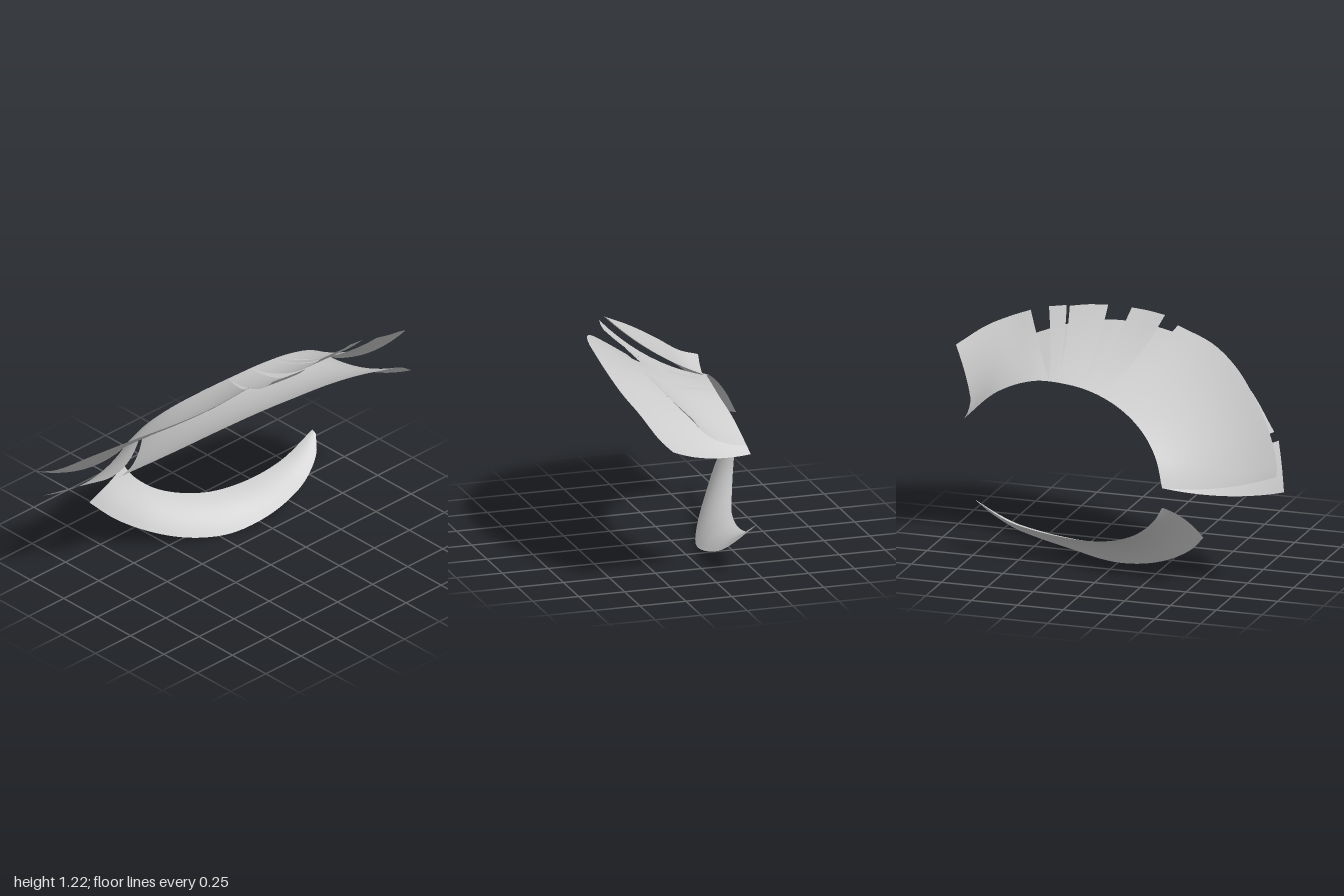
import * as THREE from 'three';

const curveOf = (pts) => new THREE.CatmullRomCurve3(pts.map((p) => new THREE.Vector3(...p)));

const material = new THREE.MeshStandardMaterial({ color: 0xcccccc, side: THREE.DoubleSide });

// Thin curled sheet between a stretch of the lid line and a tip curve.
// It dips by a share of its length, going from the first to the second value
// of sag along the lid; negative values make it bulge.
function lash(name, rim, [from, to], tips, sag, segments = 24, rows = 10) {
  const tip = curveOf(tips);
  const positions = [];
  const index = [];
  for (let i = 0; i <= segments; i++) {
    const s = i / segments;
    const u = from + (to - from) * s;
    const a = rim.getPoint(u);
    const b = tip.getPoint(s);
    const along = b.clone().sub(a);
    const depth = along.length() * THREE.MathUtils.lerp(sag[0], sag[1], s);
    const up = along.cross(rim.getTangent(u)).normalize();
    up.y += 0.5;
    up.normalize();
    for (let j = 0; j <= rows; j++) {
      const t = j / rows;
      const p = a.clone().lerp(b, t).addScaledVector(up, -4 * depth * t * (1 - t));
      positions.push(p.x, p.y, p.z);
      if (i < segments && j < rows) {
        const k = i * (rows + 1) + j;
        const n = k + rows + 1;
        index.push(k, k + 1, n, k + 1, n + 1, n);
      }
    }
  }
  const geometry = new THREE.BufferGeometry();
  geometry.setAttribute('position', new THREE.Float32BufferAttribute(positions, 3));
  geometry.setIndex(index);
  geometry.computeVertexNormals();
  const mesh = new THREE.Mesh(geometry, material);
  mesh.name = name;
  return mesh;
}

export function createModel() {
  const model = new THREE.Group();
  model.name = 'eyelashes';

  // Line of the upper lid, shared by both upper layers
  const upperRim = curveOf([
    [-0.36, 0.54, -0.475], [-0.3, 0.67, -0.4], [-0.2, 0.775, -0.315],
    [-0.05, 0.86, -0.225], [0.13, 0.915, -0.155], [0.3, 0.935, -0.12],
    [0.48, 0.925, -0.1], [0.67, 0.85, -0.12], [0.83, 0.705, -0.16],
  ]);

  // Lower layer: a long band and a separate outer corner lash
  const band = new THREE.Group();
  band.name = 'upperLashBand';
  band.add(
    lash('cornerLash', upperRim, [0, 0.125], [
      [-1, 0.56, -0.4], [-0.935, 0.65, -0.245], [-0.865, 0.735, -0.09],
    ], [0.085, 0.08], 8),
    lash('mainBand', upperRim, [0.135, 1], [
      [-0.82, 0.76, -0.03], [-0.61, 0.92, 0.175], [-0.41, 1.02, 0.3], [-0.2, 1.085, 0.39],
      [0, 1.112, 0.445], [0.195, 1.116, 0.475], [0.39, 1.09, 0.485], [0.6, 1.025, 0.465],
      [0.755, 0.955, 0.42], [0.895, 0.85, 0.355], [0.955, 0.8, 0.305],
    ], [0.075, 0.075], 48),
  );

  // Upper layer: lashes fanning out above the band
  const fan = new THREE.Group();
  fan.name = 'upperLashFan';
  const lashes = [
    ['outerLash', [0, 0.475], [
      [-0.985, 0.665, -0.475], [-0.945, 0.71, -0.36], [-0.85, 0.82, -0.205], [-0.69, 0.955, -0.01],
      [-0.55, 1.045, 0.13], [-0.39, 1.12, 0.233], [-0.185, 1.18, 0.287],
    ], [0.085, 0.055]],
    ['lashTwo', [0.475, 0.565], [[-0.09, 1.205, 0.36], [0.01, 1.212, 0.385], [0.105, 1.215, 0.4]], [0.08, 0.085]],
    ['lashThree', [0.565, 0.656], [[0.23, 1.22, 0.388], [0.335, 1.213, 0.385], [0.435, 1.198, 0.375]], [0.09, 0.09]],
    ['lashFour', [0.656, 0.684], [[0.45, 1.202, 0.37], [0.545, 1.187, 0.365]], [0.09, 0.09]],
    ['innerLash', [0.684, 0.97], [
      [0.645, 1.158, 0.366], [0.75, 1.12, 0.345], [0.865, 1.07, 0.3], [1, 0.98, 0.21],
    ], [0.085, 0.1]],
  ];
  for (const [name, span, tips, sag] of lashes) {
    fan.add(lash(name, upperRim, span, tips, sag));
  }

  // Lower lid lash: a single crescent, bulging outwards
  const lowerRim = curveOf([
    [-0.36, 0.435, -0.475], [-0.31, 0.355, -0.45], [-0.205, 0.26, -0.405], [-0.07, 0.195, -0.355],
    [0.09, 0.158, -0.3], [0.275, 0.152, -0.26], [0.435, 0.168, -0.24], [0.57, 0.2, -0.232],
    [0.745, 0.29, -0.222],
  ]);
  const lowerLash = lash('lowerLash', lowerRim, [0, 1], [
    [-0.59, 0.3, -0.49], [-0.5, 0.205, -0.4], [-0.365, 0.115, -0.31], [-0.205, 0.045, -0.22],
    [-0.045, 0.008, -0.15], [0.09, 0.002, -0.105], [0.275, 0.03, -0.07], [0.435, 0.067, -0.07],
    [0.57, 0.115, -0.09], [0.69, 0.2, -0.135], [0.745, 0.275, -0.195],
  ], [-0.09, -0.09], 40);

  model.add(band, fan, lowerLash);
  return model;
}
